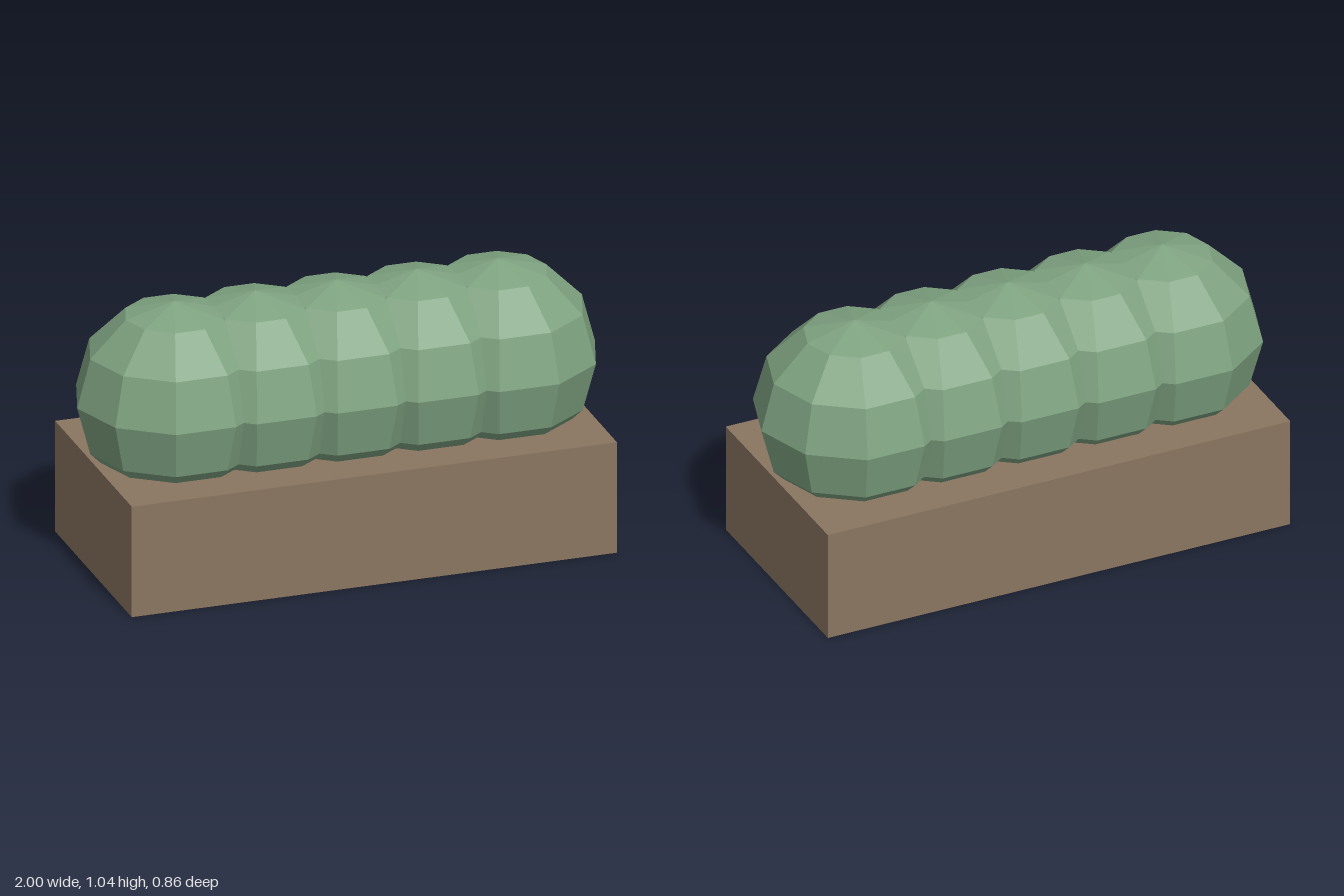
import * as THREE from 'three';

export function createModel() {
  const model = new THREE.Group();
  model.name = 'hedgePlanter';

  const leafGreen = new THREE.MeshStandardMaterial({ color: 0x7fa381, flatShading: true });
  leafGreen.name = 'leafGreen';
  const planterBrown = new THREE.MeshStandardMaterial({ color: 0x8b7661, flatShading: true });
  planterBrown.name = 'planterBrown';

  // Planter box
  const height = 0.4375;
  const planter = new THREE.Mesh(new THREE.BoxGeometry(1.875, height, 0.86), planterBrown);
  planter.name = 'planter';
  planter.position.y = height / 2;
  model.add(planter);

  // Row of overlapping low-poly bushes
  const bushes = new THREE.Group();
  bushes.name = 'bushes';
  const bushGeometry = new THREE.SphereGeometry(0.375, 10, 6);
  for (let i = 0; i < 5; i++) {
    const bush = new THREE.Mesh(bushGeometry, leafGreen);
    bush.name = `bush${i + 1}`;
    bush.position.set((i - 2) * 0.3125, 0.665, 0);
    bushes.add(bush);
  }
  model.add(bushes);

  return model;
}
